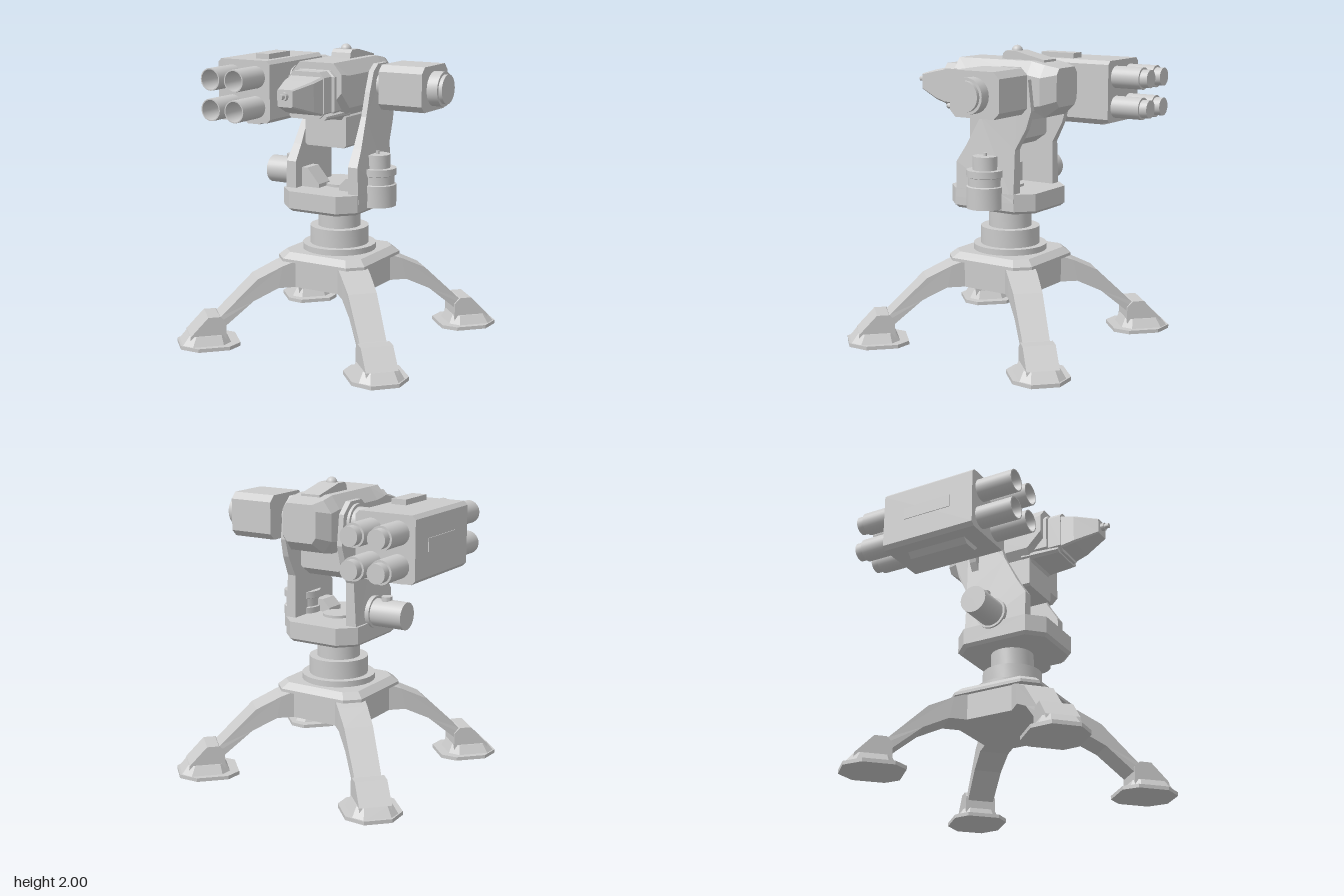
import * as THREE from 'three';
import { toCreasedNormals } from 'three/addons/utils/BufferGeometryUtils.js';

const flat = new THREE.MeshStandardMaterial({ color: 0xcccccc, flatShading: true });
const smooth = new THREE.MeshStandardMaterial({ color: 0xcccccc, side: THREE.DoubleSide });

function add(parent, name, geo, mat = flat) {
  const mesh = new THREE.Mesh(geo, mat);
  mesh.name = name;
  parent.add(mesh);
  return mesh;
}

// Chamfered rectangle, counter-clockwise
function oct(hx, hy, cx, cy = cx, ox = 0, oy = 0) {
  return [[hx, -hy + cy], [hx, hy - cy], [hx - cx, hy], [-hx + cx, hy],
    [-hx, hy - cy], [-hx, -hy + cy], [-hx + cx, -hy], [hx - cx, -hy]].map(([x, y]) => [x + ox, y + oy]);
}

// Skin through convex loops placed along z: [[z, loop], ...]
function loft(sections) {
  const pos = [];
  const n = sections[0][1].length;
  const put = (s, j) => pos.push(...sections[s][1][j % n], sections[s][0]);
  for (let s = 0; s < sections.length - 1; s++) {
    for (let j = 0; j < n; j++) {
      put(s, j); put(s, j + 1); put(s + 1, j + 1);
      put(s, j); put(s + 1, j + 1); put(s + 1, j);
    }
  }
  const e = sections.length - 1;
  for (let j = 1; j < n - 1; j++) {
    put(0, 0); put(0, j + 1); put(0, j);
    put(e, 0); put(e, j); put(e, j + 1);
  }
  const g = new THREE.BufferGeometry();
  g.setAttribute('position', new THREE.Float32BufferAttribute(pos, 3));
  g.computeVertexNormals();
  return g;
}
const loftUp = (sections) => loft(sections).rotateX(-Math.PI / 2); // loop = (x, -z)

// Profile in xy, thickness centred on z
function slab(points, depth) {
  const shape = new THREE.Shape(points.map(([x, y]) => new THREE.Vector2(x, y)));
  return new THREE.ExtrudeGeometry(shape, { depth, bevelEnabled: false }).translate(0, 0, -depth / 2);
}

// Turned part from [radius, position] pairs, along 'x', 'y' or 'z'
function turned(points, axis, x, y, z) {
  const lathe = new THREE.LatheGeometry(points.map(([r, h]) => new THREE.Vector2(r, h)), 28);
  const g = toCreasedNormals(lathe, 0.6);
  if (axis === 'x') g.rotateZ(-Math.PI / 2);
  if (axis === 'z') g.rotateX(Math.PI / 2);
  return g.translate(x, y, z);
}

const box = (x0, x1, y0, y1, z0, z1) => new THREE.BoxGeometry(x1 - x0, y1 - y0, z1 - z0)
  .translate((x0 + x1) / 2, (y0 + y1) / 2, (z0 + z1) / 2);

function buildLeg(angle) {
  const leg = new THREE.Group();
  leg.name = 'leg';
  leg.rotation.y = angle;
  // Arched strut, slimmer toward the foot
  const strut = slab([[0.15, 0.38], [0.45, 0.38], [0.62, 0.3], [0.92, 0.05], [0.98, 0.1],
    [0.84, 0.21], [0.59, 0.45], [0.42, 0.53], [0.33, 0.56], [0.15, 0.56]], 0.2);
  const p = strut.attributes.position;
  for (let i = 0; i < p.count; i++) {
    const t = THREE.MathUtils.clamp((p.getX(i) - 0.45) / 0.4, 0, 1);
    p.setZ(i, p.getZ(i) * (1 - 0.12 * t));
  }
  add(leg, 'strut', strut);
  add(leg, 'ankle', slab([[0.81, 0.025], [0.81, 0.17], [0.85, 0.21], [0.93, 0.21], [1.05, 0.085], [1.06, 0.025]], 0.21));
  add(leg, 'ankleSkirt', loftUp([
    [0.02, oct(0.165, 0.15, 0.06, 0.06, 0.94)], [0.085, oct(0.125, 0.115, 0.04, 0.04, 0.93)]]));
  const pad = [[0.205, -0.09], [0.205, 0.09], [0.1, 0.185], [-0.11, 0.185],
    [-0.195, 0.11], [-0.195, -0.11], [-0.11, -0.185], [0.1, -0.185]].map(([r, l]) => [r + 0.912, l]);
  add(leg, 'footPad', loftUp([[0, pad], [0.025, pad]]));
  return leg;
}

function buildBase(root) {
  const base = new THREE.Group();
  base.name = 'base';
  root.add(base);
  for (let k = 0; k < 4; k++) base.add(buildLeg(Math.PI / 4 + k * Math.PI / 2));
  const hub = oct(0.306, 0.306, 0.141);
  add(base, 'hub', loftUp([[0.38, hub], [0.56, hub]]));
  add(base, 'hubPlate', loftUp([[0.555, oct(0.335, 0.335, 0.09)], [0.575, oct(0.335, 0.335, 0.09)],
    [0.615, oct(0.29, 0.29, 0.075)]]));
  add(base, 'column', turned([[0, 0.6], [0.25, 0.6], [0.25, 0.655], [0.2, 0.655], [0.2, 0.775],
    [0.145, 0.775], [0.145, 0.93], [0, 0.93]], 'y', 0, 0, 0), smooth);
}

function buildYoke(root) {
  const yoke = new THREE.Group();
  yoke.name = 'yoke';
  root.add(yoke);
  const deck = oct(0.285, 0.338, 0.105, 0.105, 0, -0.018);
  add(yoke, 'turntable', loftUp([[0.915, oct(0.265, 0.318, 0.1, 0.1, 0, -0.018)], [0.935, deck], [1.05, deck]]));
  add(yoke, 'deckDisc', turned([[0, 1.04], [0.1, 1.04], [0.1, 1.068], [0, 1.068]], 'y', 0.01, 0, 0), smooth);
  // Side arms: profile listed as (-z, y), outer face leaning inward
  const profile = [[-0.245, 0.99], [-0.245, 1.23], [-0.175, 1.34], [-0.07, 1.54], [-0.02, 1.7], [0.03, 1.83],
    [0.09, 1.875], [0.22, 1.875], [0.3, 1.8], [0.325, 1.6], [0.29, 1.48], [0.215, 1.34], [0.215, 0.99]];
  for (const s of [-1, 1]) {
    const arm = slab(profile, 0.1).rotateY(Math.PI / 2);
    const p = arm.attributes.position;
    for (let i = 0; i < p.count; i++) {
      const t = THREE.MathUtils.clamp((p.getY(i) - 1.15) / 0.4, 0, 1);
      const outer = THREE.MathUtils.lerp(0.28, 0.237, t);
      p.setX(i, s * (p.getX(i) * s > 0 ? outer : 0.2) + 0.007);
    }
    add(yoke, s < 0 ? 'rightArm' : 'leftArm', arm);
  }
  add(yoke, 'rightGusset', slab([[-0.21, 1.04], [-0.06, 1.04], [-0.06, 1.075], [-0.15, 1.18], [-0.21, 1.18]], 0.14).translate(0, 0, 0.1));
  add(yoke, 'leftGusset', slab([[0.22, 1.04], [0.095, 1.04], [0.095, 1.08], [0.15, 1.135], [0.22, 1.135]], 0.14).translate(0, 0, 0.1));
  // Drive motors
  add(yoke, 'traverseMotor', turned([[0, -0.53], [0.093, -0.53], [0.093, -0.3], [0.108, -0.3], [0.108, -0.27], [0, -0.27]],
    'x', 0, 1.113, 0), smooth);
  add(yoke, 'motorCap', turned([[0.037, 1.18], [0.037, 1.23], [0, 1.23]], 'y', -0.378, 0, 0), smooth);
  add(yoke, 'verticalMotor', turned([[0, 0.945], [0.125, 0.945], [0.125, 1.09], [0.113, 1.095], [0.113, 1.15],
    [0.125, 1.155], [0.125, 1.2], [0.083, 1.2], [0.083, 1.29], [0.012, 1.29], [0.012, 1.31], [0, 1.31]],
  'y', 0.295, 0, 0), smooth);
}

function buildHead(root) {
  const head = new THREE.Group();
  head.name = 'head';
  root.add(head);
  const cx = 0.013;
  add(head, 'body', loft([
    [-0.45, oct(0.125, 0.125, 0.03, 0.04, cx, 1.745)],
    [-0.36, oct(0.186, 0.17, 0.06, 0.08, cx, 1.72)],
    [-0.26, oct(0.186, 0.19, 0.06, 0.085, cx, 1.72)],
    [0.21, oct(0.186, 0.19, 0.06, 0.085, cx, 1.72)],
    [0.315, oct(0.186, 0.13, 0.06, 0.07, cx, 1.78)]]));
  add(head, 'lowerHousing', loft([
    [-0.2, oct(0.155, 0.075, 0.015, 0.015, cx + 0.003, 1.475)],
    [-0.12, oct(0.155, 0.11, 0.015, 0.015, cx + 0.003, 1.455)],
    [0.21, oct(0.155, 0.11, 0.015, 0.015, cx + 0.003, 1.455)]]));
  add(head, 'chinPlate', loft([
    [0.15, oct(0.16, 0.03, 0.02, 0.02, cx, 1.575)], [0.42, oct(0.14, 0.02, 0.02, 0.015, cx, 1.575)]]));
  // Nose and tip
  add(head, 'noseCollar', loft([
    [0.2, oct(0.15, 0.15, 0.04, 0.04, cx, 1.715)], [0.34, oct(0.15, 0.15, 0.04, 0.04, cx, 1.715)],
    [0.345, oct(0.132, 0.148, 0.035, 0.035, cx, 1.715)], [0.44, oct(0.132, 0.148, 0.035, 0.035, cx, 1.715)]]));
  add(head, 'noseCone', loft([
    [0.43, oct(0.125, 0.125, 0.012, 0.012, cx, 1.71)], [0.53, oct(0.112, 0.102, 0.012, 0.012, cx, 1.712)],
    [0.69, oct(0.056, 0.055, 0.008, 0.008, cx, 1.72)]]));
  add(head, 'noseTip', turned([[0, 0.68], [0.027, 0.68], [0.027, 0.715], [0.017, 0.715], [0.017, 0.745], [0, 0.745]],
    'z', cx, 1.733, 0), smooth);
  // Roof ridge and dome: profile listed as (-z, y)
  add(head, 'roofRidge', slab([[-0.01, 1.9], [0.0, 1.945], [0.02, 1.965], [0.1, 1.965], [0.32, 1.915], [0.32, 1.9]], 0.145)
    .rotateY(Math.PI / 2).translate(cx, 0, 0));
  add(head, 'roofDome', new THREE.SphereGeometry(0.037, 20, 12).translate(cx, 1.963, -0.065), smooth);
}

function buildPod(root) {
  const pod = new THREE.Group();
  pod.name = 'launcherPod';
  root.add(pod);
  const shell = oct(0.21, 0.212, 0.025, 0.025, -0.65, 1.667);
  add(pod, 'podShell', loft([[-0.5, shell], [0.18, shell]]));
  // Tubes, hollow at the front and stepped at the rear
  for (const x of [-0.743, -0.553]) {
    for (const y of [1.765, 1.56]) {
      add(pod, 'launchTube', turned([[0, -0.765], [0.062, -0.765], [0.062, -0.71], [0.076, -0.71], [0.076, 0.44],
        [0.068, 0.44], [0.06, 0.2], [0, 0.2]], 'z', x, y, 0), smooth);
    }
  }
  add(pod, 'topRail', box(-0.615, -0.51, 1.87, 1.915, -0.185, 0.08));
  add(pod, 'bottomRail', slab([[-0.75, 1.46], [-0.71, 1.42], [-0.61, 1.42], [-0.57, 1.46]], 0.43).translate(0, 0, -0.16));
  add(pod, 'sidePanel', box(-0.865, -0.85, 1.635, 1.72, -0.34, 0.01));
  // Pivot joining pod and yoke
  add(pod, 'podPivot', turned([[0, -0.45], [0.085, -0.45], [0.085, -0.43], [0.062, -0.43], [0.062, -0.375], [0.1, -0.375],
    [0.1, -0.25], [0.12, -0.25], [0.12, -0.23], [0, -0.23]], 'x', 0, 1.735, -0.15), smooth);
  add(pod, 'pivotPanel', box(-0.355, -0.29, 1.68, 1.775, -0.08, -0.035));
  add(pod, 'pivotFin', slab([[-0.35, 1.68], [-0.34, 1.59], [-0.32, 1.52], [-0.29, 1.465], [-0.27, 1.68]], 0.05).translate(0, 0, -0.13));
}

function buildSensor(root) {
  const sensor = new THREE.Group();
  sensor.name = 'sideSensor';
  root.add(sensor);
  const shell = oct(0.187, 0.148, 0.042, 0.042, 0.153, 1.733);
  add(sensor, 'sensorBox', loft([[0.315, shell], [0.63, shell]]).rotateY(Math.PI / 2));
  add(sensor, 'sensorDrum', turned([[0, 0.62], [0.115, 0.62], [0.115, 0.705], [0.097, 0.705], [0.097, 0.73], [0, 0.73]],
    'x', 0, 1.73, -0.15), smooth);
  add(sensor, 'sensorPivot', turned([[0, 0.23], [0.09, 0.23], [0.09, 0.27], [0.062, 0.27], [0.062, 0.33]],
    'x', 0, 1.733, -0.15), smooth);
}

export function createModel() {
  const root = new THREE.Group();
  root.name = 'sentryTurret';
  buildBase(root);
  buildYoke(root);
  buildHead(root);
  buildPod(root);
  buildSensor(root);
  return root;
}
